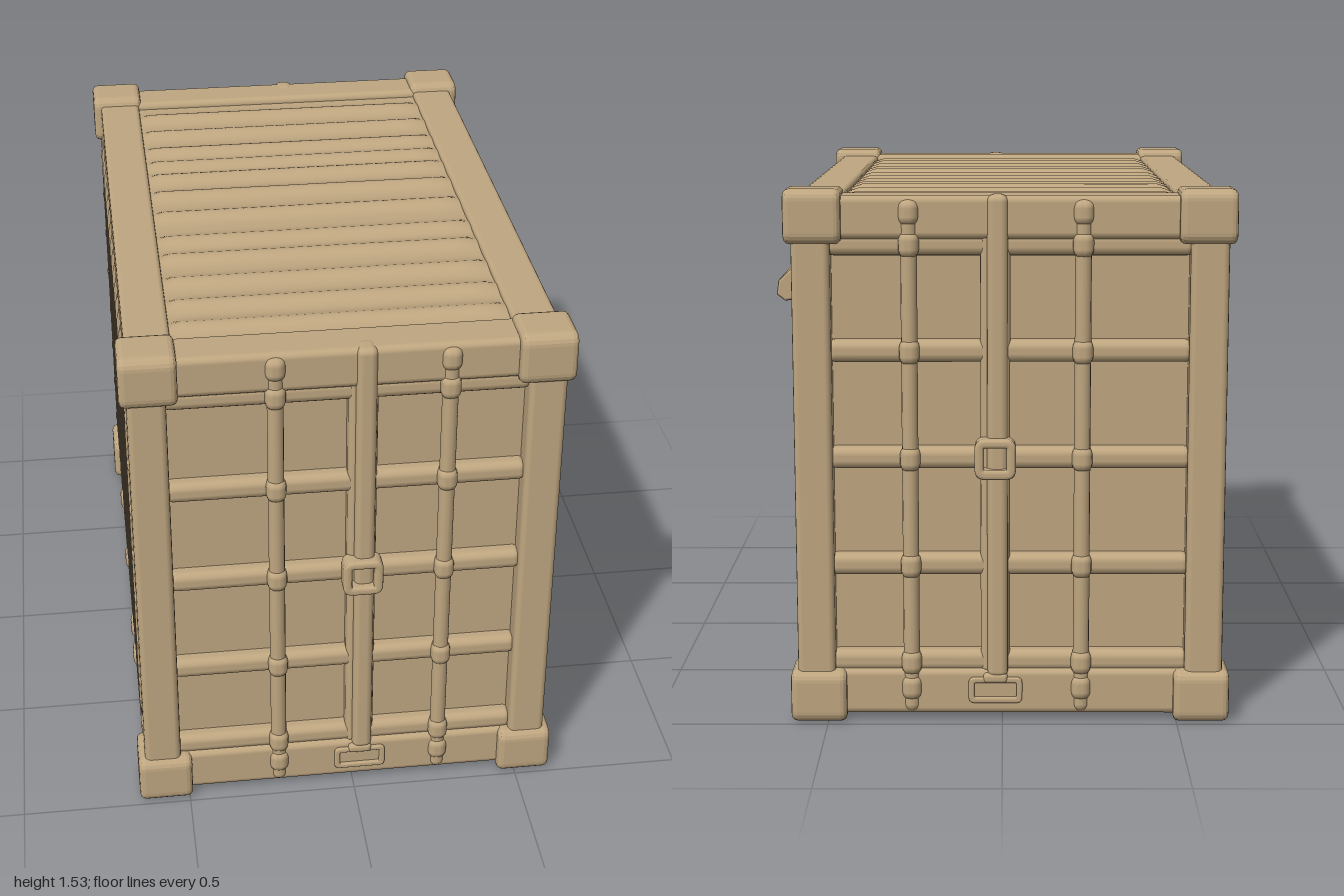
import * as THREE from 'three';
import { RoundedBoxGeometry } from 'three/addons/geometries/RoundedBoxGeometry.js';

const mat = new THREE.MeshStandardMaterial({ color: 0xbfa680 });

function add(parent, name, geo, x = 0, y = 0, z = 0) {
  const m = new THREE.Mesh(geo, mat);
  m.name = name;
  m.position.set(x, y, z);
  parent.add(m);
  return m;
}

// Rounded block given by its min and max on each axis
function block(parent, name, x0, x1, y0, y1, z0, z1, r = 0.012) {
  const w = x1 - x0, h = y1 - y0, d = z1 - z0;
  return add(parent, name, new RoundedBoxGeometry(w, h, d, 2, Math.min(r, w / 2.1, h / 2.1, d / 2.1)),
    (x0 + x1) / 2, (y0 + y1) / 2, (z0 + z1) / 2);
}

function roundRect(path, x0, x1, y0, y1, r) {
  path.moveTo(x0 + r, y0);
  path.lineTo(x1 - r, y0); path.quadraticCurveTo(x1, y0, x1, y0 + r);
  path.lineTo(x1, y1 - r); path.quadraticCurveTo(x1, y1, x1 - r, y1);
  path.lineTo(x0 + r, y1); path.quadraticCurveTo(x0, y1, x0, y1 - r);
  path.lineTo(x0, y0 + r); path.quadraticCurveTo(x0, y0, x0 + r, y0);
  return path;
}

// Rounded plate in the xy plane with holes, extruded from z = 0 to depth
function plate(rect, holes, depth, bevel, r) {
  const [x0, x1, y0, y1] = rect;
  const s = roundRect(new THREE.Shape(), x0 + bevel, x1 - bevel, y0 + bevel, y1 - bevel, r);
  for (const h of holes) s.holes.push(roundRect(new THREE.Path(), h[0] - bevel, h[1] + bevel, h[2] - bevel, h[3] + bevel, h[4]));
  const g = new THREE.ExtrudeGeometry(s, { depth: depth - 2 * bevel, bevelThickness: bevel, bevelSize: bevel, bevelSegments: 3, curveSegments: 5 });
  return g.translate(0, 0, bevel);
}

// Box whose +z face is raised by a rule
function ribbed(w, h, t, sw, sh, rule) {
  const g = new THREE.BoxGeometry(w, h, t, sw, sh, 1).translate(0, 0, -t / 2);
  const p = g.attributes.position;
  for (let i = 0; i < p.count; i++) if (p.getZ(i) > -t / 2) p.setZ(i, rule(p.getX(i), p.getY(i)));
  g.computeVertexNormals();
  return g;
}

const bump = (v, c, s) => Math.exp(-(((v - c) / s) ** 2));
const fade = (v, half, soft) => THREE.MathUtils.smoothstep(half - Math.abs(v), 0, soft);

// One door end, facing +z; s flips the slight sideways offset of the bars
function doorEnd(s) {
  const g = new THREE.Group();
  g.name = 'doorEnd';
  block(g, 'doorPanel', -0.55, 0.55, 0.08, 1.46, 0.8, 0.915);
  block(g, 'topBeam', -0.54, 0.54, 1.39, 1.512, 0.83, 0.965, 0.02);
  block(g, 'bottomBeam', -0.54, 0.54, 0.02, 0.155, 0.83, 0.965, 0.02);
  const levels = [0.175, 0.46, 0.77, 1.075, 1.375];
  for (const y of levels) block(g, 'crossBar', -0.515, 0.515, y - 0.032, y + 0.032, 0.88, 0.955, 0.025);
  for (const x of [-0.515, 0.515])
    for (let i = 0; i < 4; i++) {
      block(g, 'hinge', x - 0.015, x + 0.015, levels[i] + 0.055, levels[i + 1] - 0.05, 0.89, 0.945);
    }
  // Locking rods with a sleeve at every cross bar
  for (const x of [-0.203 * s, 0.282 * s]) {
    const rod = add(g, 'lockRod', new THREE.CapsuleGeometry(0.022, 1.43, 4, 14), x, 0.765, 0.953);
    rod.scale.x = 1.05;
    for (const y of [0.1, ...levels, 1.465]) block(g, 'rodSleeve', x - 0.029, x + 0.029, y - 0.037, y + 0.037, 0.915, 0.983, 0.025);
  }
  // Centre post, handle and lock plate
  const c = 0.042 * s;
  block(g, 'centreSeam', c - 0.042, c + 0.042, 0.14, 1.505, 0.89, 0.958, 0.018);
  block(g, 'centrePost', c - 0.023, c + 0.036, 0.13, 1.515, 0.91, 0.978, 0.02);
  add(g, 'handleFrame', plate([c - 0.058, c + 0.058, 0.717, 0.833], [[c - 0.032, c + 0.032, 0.745, 0.807, 0.014]], 0.06, 0.01, 0.018), 0, 0, 0.94);
  add(g, 'lockPlate', plate([c - 0.077, c + 0.077, 0.056, 0.132], [[c - 0.06, c + 0.06, 0.073, 0.116, 0.01]], 0.025, 0.005, 0.012), 0, 0, 0.95);
  block(g, 'lockBolt', c - 0.035, c + 0.035, 0.115, 0.145, 0.94, 0.98);
  return g;
}

// Side frame facing +z, running along x: posts, rails and corner castings
function sideFrame() {
  const g = new THREE.Group();
  g.name = 'sideFrame';
  block(g, 'topRail', -0.9, 0.9, 1.4, 1.507, 0.475, 0.604, 0.014);
  const slots = [[-0.68, -0.35], [-0.285, -0.015], [0.015, 0.285], [0.335, 0.68]].map(([a, b]) => [a, b, 0.068, 0.132, 0.014]);
  add(g, 'bottomRail', plate([-0.88, 0.88, 0.018, 0.185], slots, 0.07, 0.008, 0.005), 0, 0, 0.538);
  for (const x of [-0.45, -0.08, 0.31, 0.46]) block(g, 'railLug', x - 0.04, x + 0.04, 0.13, 0.19, 0.57, 0.618, 0.02);
  for (const e of [-1, 1]) {
    block(g, 'cornerPost', e * 0.905 - 0.072, e * 0.905 + 0.072, 0.08, 1.45, 0.5, 0.608, 0.018);
    for (let i = 0; i < 8; i++) {
      const stud = add(g, 'postStud', new THREE.SphereGeometry(0.024, 12, 8), e * 0.895, 0.24 + i * 0.152, 0.605);
      stud.scale.set(1.1, 0.8, 0.35);
    }
    for (const y of [0.002, 1.378]) {
      const c = e * 0.912;
      add(g, 'cornerCasting', plate([c - 0.083, c + 0.083, y, y + 0.153], [[c - 0.018, c + 0.018, y + 0.045, y + 0.118, 0.016]], 0.16, 0.018, 0.016), 0, 0, 0.468);
      block(g, 'castingCore', c - 0.06, c + 0.06, y + 0.025, y + 0.13, 0.48, 0.604);
    }
  }
  return g;
}

// Fittings of the service side, in the same facing as sideFrame (x = -z of model)
function sideFittings() {
  const g = new THREE.Group();
  g.name = 'sideFittings';
  for (const [x, y] of [[-0.71, 1.215], [-0.69, 0.65], [-0.705, 0.39]]) {
    const k = add(g, 'roundKnob', new THREE.SphereGeometry(0.048, 20, 14), x, y, 0.592);
    k.scale.z = 0.5;
  }
  block(g, 'knobArm', -0.78, -0.7, 1.165, 1.185, 0.575, 0.605);
  block(g, 'knobArm', -0.78, -0.7, 0.345, 0.362, 0.575, 0.602);
  block(g, 'latchTop', -0.75, -0.57, 0.825, 0.845, 0.575, 0.606);
  block(g, 'latchPost', -0.75, -0.73, 0.71, 0.87, 0.575, 0.606);
  block(g, 'latchPlate', -0.73, -0.57, 0.71, 0.83, 0.575, 0.596);
  // Hatch frame with its small lock box below
  add(g, 'hatchFrame', plate([0.205, 0.455, 0.595, 0.85], [[0.23, 0.43, 0.622, 0.828, 0.035]], 0.038, 0.008, 0.04), 0, 0, 0.575);
  block(g, 'lockBox', 0.22, 0.46, 0.47, 0.575, 0.575, 0.598);
  block(g, 'lockBoxFoot', 0.31, 0.45, 0.4, 0.5, 0.575, 0.595);
  block(g, 'lockLever', 0.33, 0.37, 0.47, 0.54, 0.58, 0.612);
  block(g, 'lockLeverTop', 0.33, 0.39, 0.52, 0.545, 0.58, 0.612);
  // Vent hood: sloping profile extruded along the side
  const hood = new THREE.Shape([[0.57, 1.37], [0.607, 1.365], [0.618, 1.29], [0.655, 1.255], [0.66, 1.22], [0.64, 1.205], [0.612, 1.21], [0.606, 1.165], [0.57, 1.16]]
    .map(([a, b]) => new THREE.Vector2(-a, b)));
  const hg = new THREE.ExtrudeGeometry(hood, { depth: 0.3, bevelThickness: 0.008, bevelSize: 0.006, bevelSegments: 2 });
  add(g, 'ventHood', hg.rotateY(Math.PI / 2), 0.5, 0, 0);
  block(g, 'step', 0.7, 0.85, 0.205, 0.255, 0.575, 0.612);
  block(g, 'stepRiser', 0.795, 0.85, 0.23, 0.305, 0.575, 0.61);
  const boss = add(g, 'boss', new THREE.SphereGeometry(0.045, 16, 10), 0.62, 0.355, 0.588);
  boss.scale.z = 0.2;
  return g;
}

export function createModel() {
  const root = new THREE.Group();
  root.name = 'cargoContainer';
  const body = new THREE.Group();
  body.name = 'containerBody';
  body.position.x = -0.022;
  root.add(body);
  block(body, 'innerCore', -0.545, 0.545, 0.04, 1.47, -0.87, 0.87);

  // Door ends at front and back
  body.add(doorEnd(1));
  const back = doorEnd(-1);
  back.rotation.y = Math.PI;
  body.add(back);

  // Frames on both sides, fittings on the +x side
  for (const s of [1, -1]) {
    const f = sideFrame();
    f.rotation.y = s * Math.PI / 2;
    body.add(f);
  }
  const fit = sideFittings();
  fit.rotation.y = Math.PI / 2;
  body.add(fit);

  // Roof with uneven cross ribs
  const ribs = [-0.71, -0.57, -0.43, -0.32, -0.22, -0.09, 0.06, 0.23, 0.35, 0.5, 0.64, 0.77];
  const roof = add(body, 'roof', ribbed(1.06, 1.74, 0.06, 24, 180, (x, y) =>
    0.016 * fade(x, 0.5, 0.06) * ribs.reduce((a, c) => Math.max(a, bump(-y, c - 0.025, 0.034)), 0)), 0, 1.49, 0);
  roof.rotation.x = -Math.PI / 2;

  // Underside with even cross ribs
  const floor = add(body, 'floor', ribbed(1.15, 1.74, 0.04, 16, 216, (x, y) =>
    0.026 * fade(x, 0.575, 0.03) * (0.5 + 0.5 * Math.cos(y * Math.PI * 2 / 0.0967)) ** 0.8), 0, 0.032, 0);
  floor.rotation.x = Math.PI / 2;

  // Service wall with a few shallow folds
  const folds = [-0.45, -0.38, -0.29, -0.14, -0.04, 0.3, 0.37];
  const wall = add(body, 'serviceWall', ribbed(1.7, 1.27, 0.05, 170, 16, (x, y) =>
    0.011 * fade(y, 0.63, 0.12) * folds.reduce((a, c) => Math.max(a, bump(x, c, 0.022)), 0)), 0.586, 0.785, 0);
  wall.rotation.y = Math.PI / 2;

  // Corrugated wall
  const wall2 = add(body, 'corrugatedWall', ribbed(1.7, 1.27, 0.05, 204, 16, (x, y) =>
    0.018 * fade(y, 0.635, 0.05) * (0.5 + 0.5 * Math.cos(x * Math.PI * 2 / 0.1))), -0.594, 0.785, 0);
  wall2.rotation.y = -Math.PI / 2;
  return root;
}
